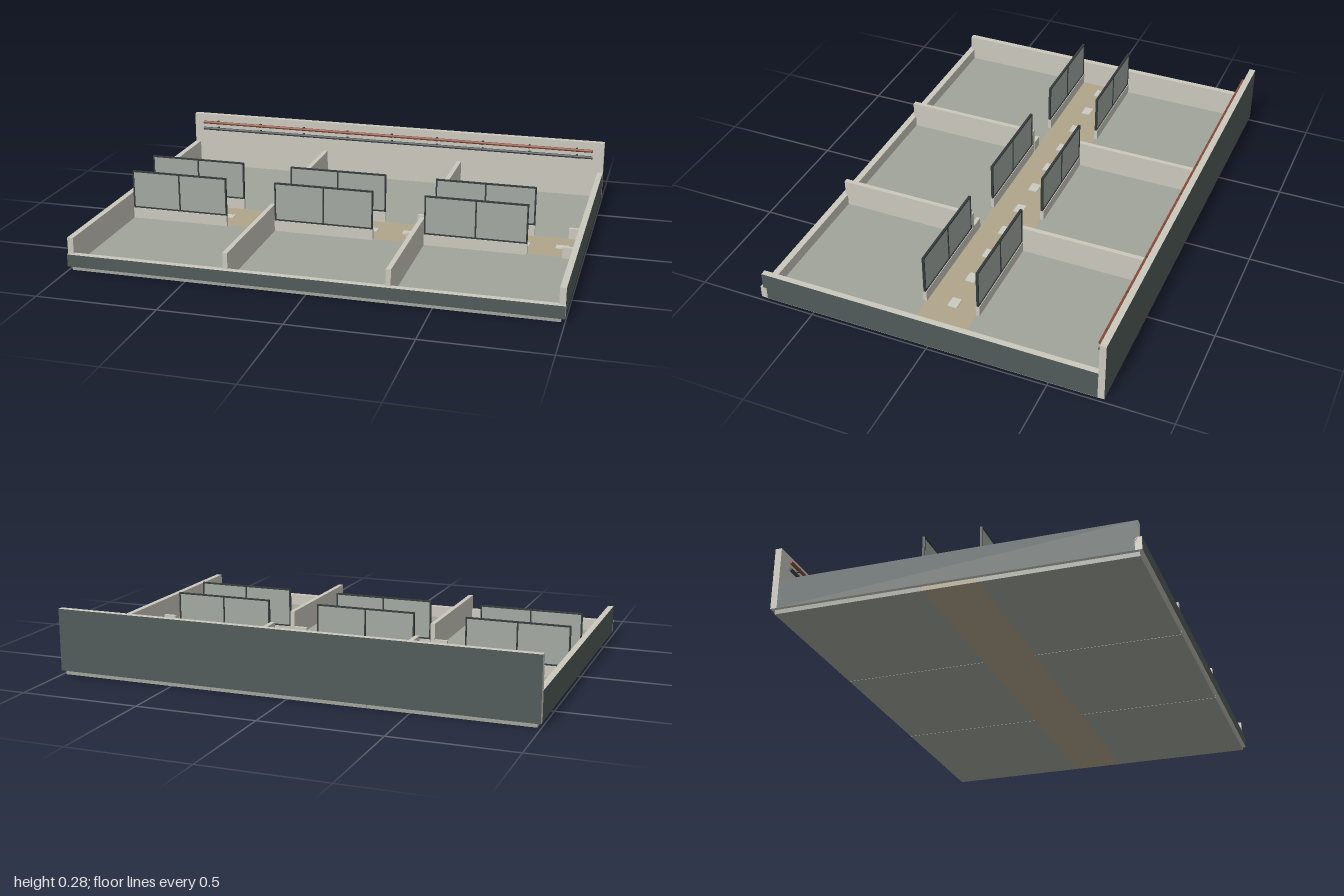
import * as THREE from 'three';

const mat = (name, color, side = THREE.FrontSide) => {
  const m = new THREE.MeshStandardMaterial({ color, side });
  m.name = name;
  return m;
};

export function createModel() {
  const root = new THREE.Group();
  root.name = 'corridorBuilding';

  const plaster = mat('pale plaster', 0xcbc8bd);
  const slate = mat('slate cladding', 0x505b59);
  const concrete = mat('grey floor', 0xa1a49b);
  const tan = mat('tan corridor', 0xb0a58a);
  const paint = mat('floor marking', 0xcbcac2);
  const glass = mat('grey glazing', 0xa2a8a1);
  const frame = mat('dark frame', 0x343b3b);
  const rust = mat('rust pipe', 0x8a4a38);
  const steel = mat('dark pipe', 0x3f454a);

  // Box given by its minimum and maximum on each axis
  const box = (name, material, [x0, x1], [y0, y1], [z0, z1], parent = root) => {
    const mesh = new THREE.Mesh(new THREE.BoxGeometry(x1 - x0, y1 - y0, z1 - z0), material);
    mesh.position.set((x0 + x1) / 2, (y0 + y1) / 2, (z0 + z1) / 2);
    mesh.name = name;
    parent.add(mesh);
    return mesh;
  };
  // Plaster wall with one clad face (box face order: +x -x +y -y +z -z)
  const clad = (face) => Array.from({ length: 6 }, (_, i) => (i === face ? slate : plaster));

  const base = 0.02;
  const bays = [[-0.985, -0.329], [-0.327, 0.327], [0.329, 0.985]];

  // Floor slabs and corridor
  for (const bay of bays) {
    box('roomFloorFront', concrete, bay, [0, base], [0.11, 0.715]);
    box('roomFloorBack', concrete, bay, [0, base], [-0.715, -0.11]);
  }
  box('corridorFloor', tan, [-0.985, 0.985], [0, base], [-0.11, 0.11]);
  for (let i = 0; i < 12; i++) {
    const x = -0.905 + i * 0.1645;
    box('floorMarking', paint, [x - 0.027, x + 0.027], [base, base + 0.003], [-0.02, 0.02]);
  }

  // Outer walls
  box('backWall', clad(5), [-1, 1], [0.018, 0.278], [-0.727, -0.7]);
  box('frontWall', clad(4), [-1, 1], [0.018, 0.07], [0.7, 0.727]);
  box('leftWall', clad(0), [0.975, 1], [0.018, 0.138], [-0.7, 0.715]);
  box('rightWall', clad(1), [-1, -0.975], [0.018, 0.138], [-0.7, 0.715]);

  // Room partitions
  for (const x of [-0.33, 0.327]) {
    box('partitionFront', plaster, [x - 0.01, x + 0.01], [base, 0.138], [0.108, 0.71]);
    box('partitionBack', plaster, [x - 0.01, x + 0.01], [base, 0.138], [-0.7, -0.108]);
  }

  // Glazed corridor screens: knee wall, door gap, short pier
  const screen = (x0, z) => {
    const g = new THREE.Group();
    g.name = 'glazedScreen';
    root.add(g);
    const x1 = x0 + 0.435, y0 = 0.067, y1 = 0.237, t = 0.006;
    const deep = [z - 0.005, z + 0.005];
    box('kneeWall', plaster, [x0, x1], [base, y0], [z - 0.008, z + 0.008], g);
    box('doorPier', plaster, [x0 + 0.58, x0 + 0.637], [base, y0], [z - 0.008, z + 0.008], g);
    box('glazing', glass, [x0 + t, x1 - t], [y0 + t, y1 - t], [z - 0.002, z + 0.002], g);
    box('topRail', frame, [x0, x1], [y1 - t, y1], deep, g);
    box('bottomRail', frame, [x0, x1], [y0, y0 + t], deep, g);
    for (const x of [x0, (x0 + x1 - t) / 2, x1 - t])
      box('mullion', frame, [x, x + t], [y0 + t, y1 - t], deep, g);
  };
  for (const x of [-0.975, -0.32, 0.337]) for (const z of [0.115, -0.115]) screen(x, z);

  // Service pipes on the back wall
  for (const [name, material, y] of [['upperPipe', rust, 0.241], ['lowerPipe', steel, 0.21]]) {
    const pipe = new THREE.Mesh(new THREE.CylinderGeometry(0.007, 0.007, 1.9, 12), material);
    pipe.name = name;
    pipe.rotation.z = Math.PI / 2;
    pipe.position.set(0, y, -0.685);
    root.add(pipe);
    for (let i = 0; i < 9; i++) {
      const x = -0.877 + i * 0.2193;
      box('pipeBracket', steel, [x - 0.004, x + 0.004], [y - 0.008, y + 0.008], [-0.7, -0.682]);
    }
  }
  return root;
}
